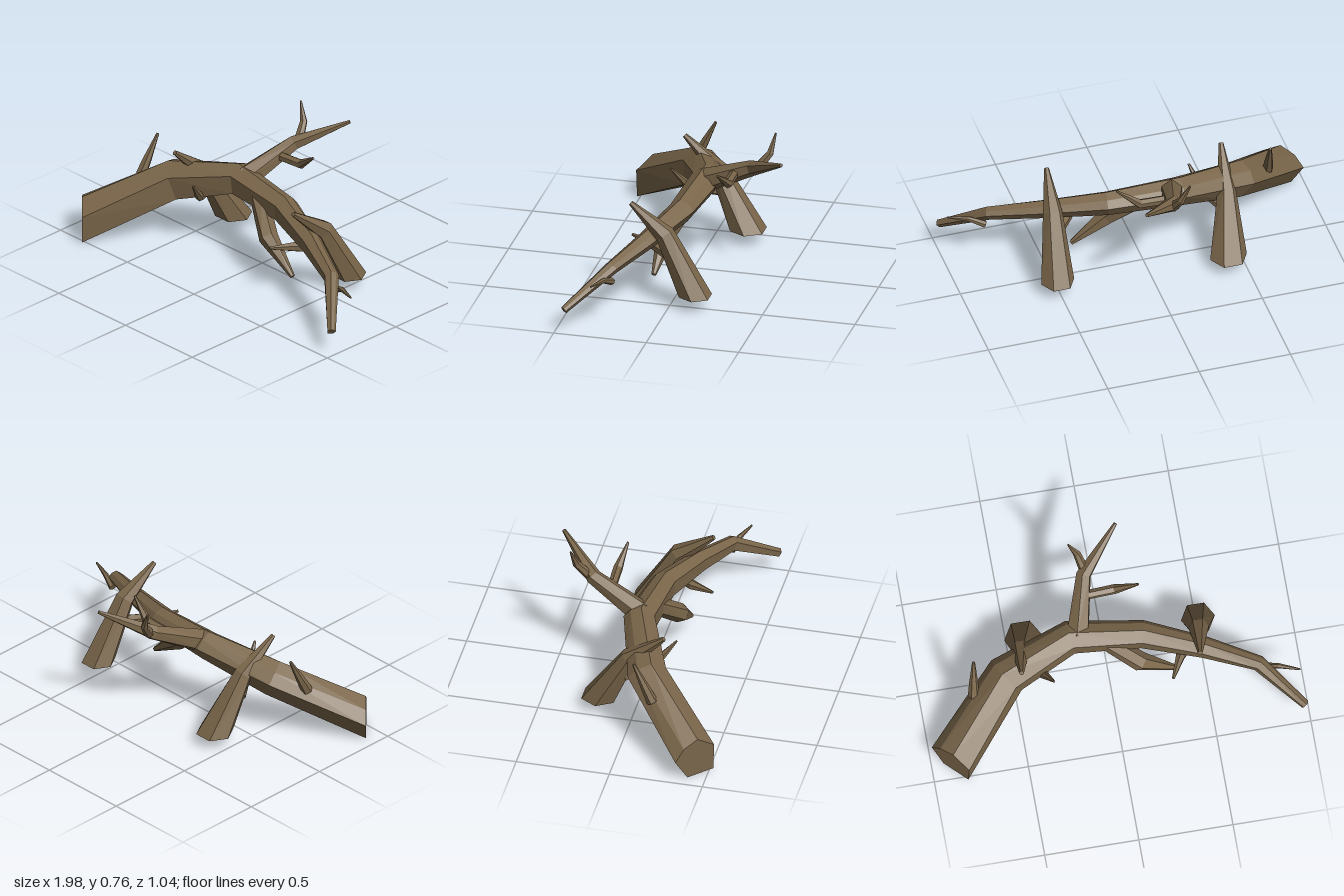
import * as THREE from 'three';

const V = (a) => new THREE.Vector3(a[0], a[1], a[2]);
const X = V([1, 0, 0]), Y = V([0, 1, 0]);

// Unit cross-sections, counter-clockwise
const trunkProfile = [[1, -1], [1.05, 0.36], [0.12, 1], [-0.65, 0.7], [-1.13, 0.1], [-0.45, -1]];
const hexProfile = Array.from({ length: 6 }, (_, i) => {
  const a = (i + 0.5) * Math.PI / 3;
  return [Math.cos(a), Math.sin(a)];
});

// Tapered faceted limb through points [x, y, z, radius]; startDir sets the cut of the first end
function limb(points, { profile = hexProfile, ref = Y, startDir } = {}) {
  const p = points.map(V), n = profile.length, last = p.length - 1;
  const rings = p.map((c, i) => {
    const t = new THREE.Vector3();
    if (i === 0 && startDir) t.copy(V(startDir)).normalize();
    else {
      if (i > 0) t.add(c.clone().sub(p[i - 1]).normalize());
      if (i < last) t.add(p[i + 1].clone().sub(c).normalize());
      t.normalize();
    }
    const u = t.clone().cross(ref).normalize(), v = u.clone().cross(t);
    const r = points[i][3];
    return profile.map(([a, b]) => c.clone().addScaledVector(u, a * r).addScaledVector(v, b * r));
  });
  const pos = [];
  const tri = (...q) => q.forEach((k) => pos.push(k.x, k.y, k.z));
  for (let i = 0; i < last; i++) {
    for (let j = 0; j < n; j++) {
      const k = (j + 1) % n, a = rings[i], b = rings[i + 1];
      tri(a[j], b[j], a[k]);
      tri(a[k], b[j], b[k]);
    }
  }
  // End caps
  for (let j = 1; j < n - 1; j++) {
    tri(rings[0][0], rings[0][j], rings[0][j + 1]);
    tri(rings[last][0], rings[last][j + 1], rings[last][j]);
  }
  const g = new THREE.BufferGeometry();
  g.setAttribute('position', new THREE.Float32BufferAttribute(pos, 3));
  g.computeVertexNormals();
  return g;
}

export function createModel() {
  const group = new THREE.Group();
  group.name = 'fallenBranch';
  const bark = new THREE.MeshStandardMaterial({ color: 0x7a664a });
  bark.name = 'bark';
  bark.flatShading = true;

  const add = (name, points, options) => {
    const mesh = new THREE.Mesh(limb(points, options), bark);
    mesh.name = name;
    group.add(mesh);
  };

  // Arching main trunk with an upright cut at the thick end
  add('trunk', [
    [-0.9, 0.11, 0.44, 0.11], [-0.555, 0.345, 0.1, 0.095], [-0.19, 0.435, -0.025, 0.075],
    [0.19, 0.41, 0.015, 0.062], [0.5, 0.36, 0.125, 0.048], [0.77, 0.305, 0.245, 0.035],
    [0.98, 0.13, 0.45, 0.02],
  ], { profile: trunkProfile, startDir: [0.7, 0, -0.7] });

  // Supporting limbs: broad flat foot, crossing the trunk to a pointed tip
  const upright = { ref: X, startDir: [0, 1, 0] };
  add('rightSupport', [
    [-0.41, 0.067, -0.19, 0.1], [-0.452, 0.37, -0.02, 0.05], [-0.48, 0.535, 0.172, 0.013],
  ], upright);
  add('leftSupport', [
    [0.51, 0.075, -0.14, 0.09], [0.485, 0.395, 0.03, 0.053], [0.46, 0.545, 0.222, 0.013],
  ], upright);

  // Rear branch and its two twigs
  add('rearBranch', [
    [-0.15, 0.44, -0.02, 0.065], [-0.07, 0.575, -0.3, 0.042], [0.135, 0.7, -0.508, 0.01],
  ]);
  add('rearUpperTwig', [
    [-0.06, 0.57, -0.32, 0.028], [-0.09, 0.66, -0.39, 0.02], [-0.133, 0.76, -0.41, 0.005],
  ], { ref: X });
  add('rearSideTwig', [
    [-0.1, 0.53, -0.2, 0.025], [0.08, 0.54, -0.205, 0.026], [0.2, 0.63, -0.178, 0.006],
  ]);

  // Low branch drooping from the middle of the trunk
  add('lowBranch', [
    [-0.02, 0.41, 0.01, 0.05], [0.16, 0.25, 0.11, 0.052], [0.355, 0.1, 0.125, 0.013],
  ]);

  // Small twigs
  add('trunkTwig', [
    [-0.735, 0.31, 0.17, 0.03], [-0.728, 0.39, 0.13, 0.024], [-0.717, 0.52, 0.065, 0.008],
  ], { ref: X });
  add('rightSupportTwig', [
    [-0.46, 0.25, -0.05, 0.03], [-0.355, 0.3, 0.11, 0.026], [-0.312, 0.412, 0.203, 0.006],
  ]);
  add('leftSupportTwig', [
    [0.5, 0.27, -0.02, 0.032], [0.37, 0.285, 0.13, 0.027], [0.312, 0.298, 0.25, 0.008],
  ]);
  add('endTwig', [
    [0.79, 0.235, 0.24, 0.02], [0.87, 0.27, 0.265, 0.014], [0.978, 0.276, 0.306, 0.005],
  ]);

  return group;
}
